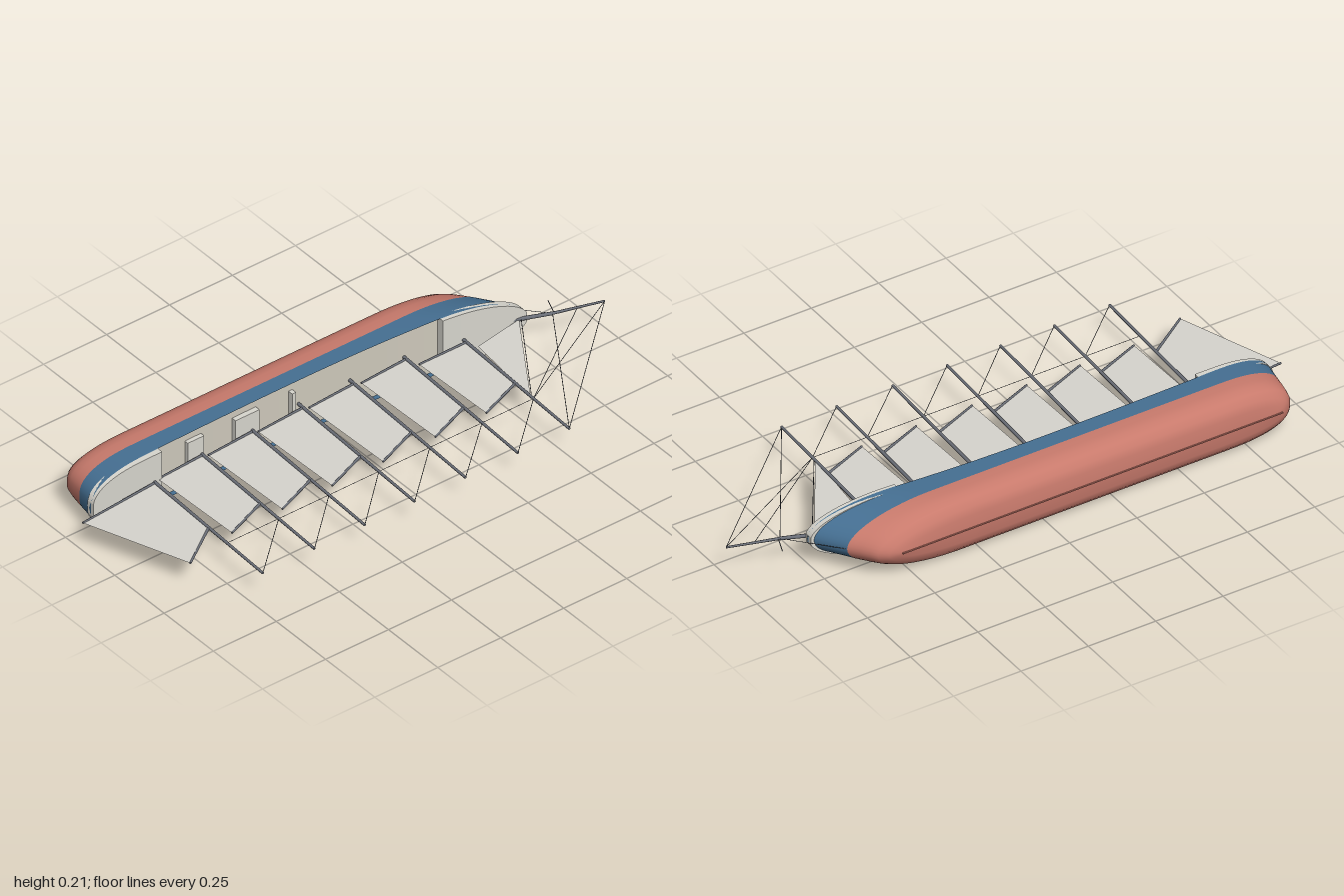
import * as THREE from 'three';

// Ship frame: x = length, y = height, z = beam; the whole ship then lies on its side.
const HALF = 0.106, BOW = 0.31, STERN = 0.235, ROUND = 2.6;
const mat = (color, side = THREE.FrontSide) => new THREE.MeshStandardMaterial({ color, side });
const blue = mat(0x456f92, THREE.DoubleSide);
const red = mat(0xc87a6c, THREE.DoubleSide);
const deckMat = mat(0xcfcabc);
const paleMat = mat(0xd8d6ce);
const sailMat = mat(0xd6d4ce, THREE.DoubleSide);
const sparMat = mat(0x6b6f78);
const lineMat = mat(0x55585f);

// Height of the hull's upper edge
const sheer = x => -0.221 + (x > -0.1
  ? 0.056 * Math.pow((x + 0.1) / 0.86, 2.2)
  : 0.016 * Math.pow((-0.1 - x) / 0.83, 2));

// Half width of the deck plan
function beam(x) {
  if (x > 0.45) return HALF * Math.sqrt(Math.max(0, 1 - ((x - 0.45) / BOW) ** 2));
  if (x < -0.7) return HALF * Math.pow(Math.max(0, 1 - Math.pow((-0.7 - x) / STERN, ROUND)), 1 / ROUND);
  return HALF;
}

// Closed waterline: bow, left side, stern, right side
function waterline(xs, xb, w) {
  const half = [], n = 14, a0 = xb - BOW, a1 = xs + STERN;
  for (let i = 0; i <= n; i++) {
    const a = (i / n) * Math.PI / 2;
    half.push([a0 + BOW * Math.cos(a), w * Math.sin(a)]);
  }
  for (let i = 1; i < 12; i++) half.push([a0 + (a1 - a0) * i / 12, w]);
  for (let i = 0; i <= n; i++) {
    const a = (i / n) * Math.PI / 2;
    half.push([a1 - STERN * Math.pow(Math.sin(a), 2 / ROUND),
      i === n ? 0 : w * Math.pow(Math.cos(a), 2 / ROUND)]);
  }
  const mirror = half.slice(1, -1).reverse().map(([x, z]) => [x, -z]);
  return half.concat(mirror);
}

// Skin through levels of [height or null for the sheer, stern x, bow x, half width]
function hullSkin(levels) {
  const pos = [], index = [];
  let n = 0;
  levels.forEach(([h, xs, xb, w], r) => {
    const ring = waterline(xs, xb, w);
    n = ring.length;
    ring.forEach(([x, z], j) => {
      pos.push(x, h === null ? sheer(x) : h, z);
      if (r === levels.length - 1) return;
      const a = r * n + j, b = r * n + (j + 1) % n;
      index.push(a, b, a + n, b, b + n, a + n);
    });
  });
  const g = new THREE.BufferGeometry();
  g.setAttribute('position', new THREE.Float32BufferAttribute(pos, 3));
  g.setIndex(index);
  g.computeVertexNormals();
  return g;
}

// Deck slab following the plan between two stations
function deckSlab(x0, x1, top, bottom) {
  const pos = [], n = 32, rows = [];
  for (let i = 0; i <= n; i++) {
    const x = x0 + (x1 - x0) * (1 - Math.cos(Math.PI * i / n)) / 2, w = beam(x) * 0.985;
    rows.push([[x, bottom(x), -w], [x, top(x), -w], [x, top(x), w], [x, bottom(x), w]]);
  }
  const quad = (a, b, c, d) => pos.push(...a, ...b, ...c, ...a, ...c, ...d);
  for (let i = 0; i < n; i++) {
    for (let k = 0; k < 4; k++) {
      const m = (k + 1) % 4;
      quad(rows[i][k], rows[i][m], rows[i + 1][m], rows[i + 1][k]);
    }
  }
  const [a, b, c, d] = rows[0], [e, f, g, h] = rows[n];
  quad(d, c, b, a);
  quad(e, f, g, h);
  const geo = new THREE.BufferGeometry();
  geo.setAttribute('position', new THREE.Float32BufferAttribute(pos, 3));
  geo.computeVertexNormals();
  return geo;
}

export function createModel() {
  const model = new THREE.Group();
  model.name = 'schooner';
  const ship = new THREE.Group();
  ship.name = 'ship';
  ship.rotation.x = Math.PI / 2;
  ship.position.y = 0.107;
  model.add(ship);

  const add = (name, geometry, material) => {
    const m = new THREE.Mesh(geometry, material);
    m.name = name;
    ship.add(m);
    return m;
  };
  // Round bar between two points on the centre plane
  const bar = (name, [x0, y0], [x1, y1], r0, r1 = r0, material = sparMat, sides = 8) => {
    const dx = x1 - x0, dy = y1 - y0;
    const m = add(name, new THREE.CylinderGeometry(r1, r0, Math.hypot(dx, dy), sides), material);
    m.position.set((x0 + x1) / 2, (y0 + y1) / 2, 0);
    m.rotation.z = Math.atan2(dy, dx) - Math.PI / 2;
  };
  const line = (a, b) => bar('riggingLine', a, b, 0.0011, 0.0011, lineMat, 4);
  const sail = (name, pts) =>
    add(name, new THREE.ShapeGeometry(new THREE.Shape(pts.map(p => new THREE.Vector2(...p)))), sailMat);

  // Hull
  const waterLevel = [-0.28, -0.922, 0.685, HALF];
  add('upperHull', hullSkin([
    [null, -0.935, 0.76, HALF], [-0.25, -0.927, 0.705, HALF], waterLevel]), blue);
  add('lowerHull', hullSkin([
    waterLevel, [-0.315, -0.916, 0.658, HALF], [-0.34, -0.912, 0.64, 0.102],
    [-0.362, -0.907, 0.623, 0.092], [-0.38, -0.89, 0.592, 0.072],
    [-0.389, -0.868, 0.56, 0.046], [-0.392, -0.84, 0.53, 0]]), red);
  add('keel', new THREE.BoxGeometry(1.41, 0.014, 0.004), red).position.set(-0.155, -0.388, 0);

  // Decks
  add('mainDeck', deckSlab(-0.68, 0.47, x => sheer(x) - 0.016, x => sheer(x) - 0.026), deckMat);
  add('aftDeck', deckSlab(-0.933, -0.66, () => -0.194, x => sheer(x) - 0.018), paleMat);
  add('foreDeck', deckSlab(0.45, 0.757, x => sheer(x) + 0.013, x => sheer(x) - 0.018), paleMat);

  // Deckhouses
  [[-0.54, -0.475], [-0.35, -0.255], [-0.125, -0.11]].forEach(([a, b]) => {
    add('deckhouse', new THREE.BoxGeometry(b - a, 0.025, 0.135), paleMat)
      .position.set((a + b) / 2, -0.23, 0);
  });

  // Masts with their fore-and-aft sails
  const tops = [-0.715, -0.51, -0.31, -0.112, 0.09, 0.298, 0.502];
  const TOP = 0.387;
  const mastAt = (i, y) => [tops[i] + 0.025 * (TOP - y) / 0.59, y];
  tops.forEach((x, i) => {
    bar('mast', mastAt(i, -0.24), [x, TOP], 0.006, 0.0045);
    const tack = mastAt(i, i === 6 ? -0.165 : i === 0 ? -0.19 : -0.212);
    const throat = mastAt(i, 0.097);
    const clew = i === 0 ? [-0.998, -0.165] : [tack[0] - 0.188, i === 6 ? -0.165 : -0.2];
    const peak = i === 0 ? [-0.862, 0.207] : [tack[0] - 0.178, 0.163];
    sail('sail', [tack, throat, peak, clew]);
    bar('boom', tack, clew, 0.0045, 0.0035);
    bar('gaff', throat, peak, 0.0045, 0.0035);
    if (i < 6) {
      line(mastAt(i, 0.195), mastAt(i + 1, 0.195));
      line([x, TOP], mastAt(i + 1, 0.195));
    }
  });

  // Bowsprit and headsail
  const knee = [0.83, -0.117], tip = [0.998, -0.067], striker = [0.86, -0.178];
  bar('bowsprit', [0.7, -0.17], knee, 0.007, 0.006);
  bar('jibBoom', knee, tip, 0.005, 0.0035);
  bar('strut', [0.835, -0.115], striker, 0.0015);
  sail('jib', [[0.54, -0.125], [0.728, -0.157], [0.507, 0.185]]);

  // Head rigging
  const head = [tops[6], TOP];
  line(head, tip);
  line(head, knee);
  line(mastAt(6, 0.195), tip);
  line(mastAt(6, 0.195), [0.91, -0.093]);
  line(mastAt(6, 0.185), [0.735, -0.155]);
  line([0.665, -0.3], knee);
  return model;
}
